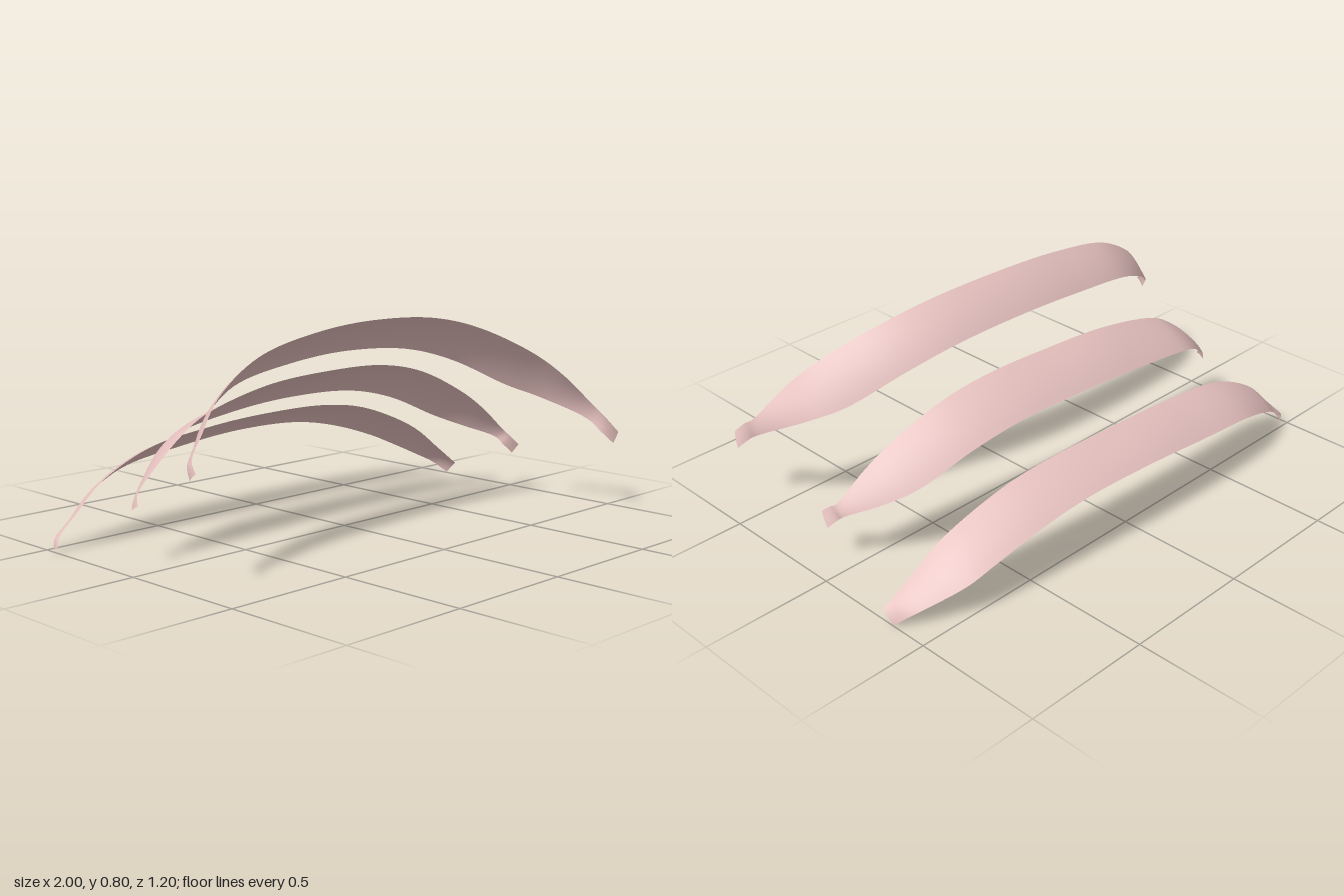
import * as THREE from 'three';

// Cross-sections along each band, right tip to left tip:
// [x, upper y, upper z, lower y, lower z, lower x if different]
const frontRows = [
  [-0.98, 0.40, 0.31, 0.37, 0.275, -0.975], [-0.965, 0.435, 0.275, 0.41, 0.25], [-0.9, 0.51, 0.25, 0.45, 0.20],
  [-0.8, 0.61, 0.215, 0.52, 0.135], [-0.6, 0.72, 0.185, 0.61, 0.06], [-0.3, 0.78, 0.165, 0.657, 0.027],
  [0, 0.80, 0.163, 0.675, 0.023], [0.3, 0.785, 0.19, 0.655, 0.05], [0.5, 0.733, 0.245, 0.597, 0.105],
  [0.7, 0.625, 0.35, 0.49, 0.21], [0.8, 0.535, 0.42, 0.44, 0.30], [0.9, 0.415, 0.49, 0.36, 0.46],
  [0.905, 0.37, 0.55, 0.315, 0.525], [0.915, 0.323, 0.598, 0.272, 0.566, 0.93],
];
const middleRows = [
  [-0.905, 0.215, -0.09, 0.195, -0.125], [-0.89, 0.25, -0.11, 0.225, -0.135], [-0.8, 0.35, -0.102, 0.29, -0.19],
  [-0.7, 0.43, -0.102, 0.36, -0.235], [-0.6, 0.487, -0.103, 0.40, -0.262], [-0.3, 0.56, -0.11, 0.447, -0.281],
  [0, 0.583, -0.105, 0.468, -0.28], [0.3, 0.58, -0.086, 0.46, -0.258], [0.5, 0.537, -0.058, 0.413, -0.225],
  [0.7, 0.435, -0.015, 0.32, -0.165], [0.8, 0.36, 0.01, 0.275, -0.10], [0.9, 0.26, 0.04, 0.225, 0],
  [0.907, 0.235, 0.075, 0.2, 0.03], [0.915, 0.207, 0.108, 0.163, 0.062, 0.93],
];
const backRows = [
  [-1, 0.025, -0.434, 0.005, -0.472, -0.99], [-0.978, 0.055, -0.452, 0.045, -0.482], [-0.9, 0.135, -0.447, 0.095, -0.505],
  [-0.8, 0.23, -0.438, 0.155, -0.54], [-0.6, 0.325, -0.425, 0.23, -0.585], [-0.3, 0.368, -0.428, 0.27, -0.602],
  [0, 0.385, -0.427, 0.295, -0.60], [0.3, 0.383, -0.413, 0.291, -0.583], [0.5, 0.353, -0.393, 0.255, -0.563],
  [0.7, 0.277, -0.362, 0.19, -0.535], [0.8, 0.22, -0.345, 0.145, -0.51], [0.9, 0.14, -0.33, 0.09, -0.45],
  [0.96, 0.09, -0.318, 0.053, -0.405], [1, 0.055, -0.307, 0.008, -0.355],
];

// Sweep a slightly arched cross-section between the two edge curves
function bandGeometry(rows, along = 120, across = 10) {
  const curve = (pts) => new THREE.CatmullRomCurve3(pts);
  const upper = curve(rows.map(([x, y, z]) => new THREE.Vector3(x, y, z)));
  const lower = curve(rows.map(([x, , , y, z, lx = x]) => new THREE.Vector3(lx, y, z)));
  const positions = [], index = [];
  for (let i = 0; i <= along; i++) {
    const t = i / along;
    const a = lower.getPoint(t), b = upper.getPoint(t);
    const width = b.clone().sub(a);
    const tangent = upper.getTangent(t).add(lower.getTangent(t));
    const outward = width.clone().cross(tangent).normalize();
    for (let j = 0; j <= across; j++) {
      const s = j / across;
      const p = a.clone().lerp(b, s).addScaledVector(outward, 0.05 * width.length() * 4 * s * (1 - s));
      positions.push(p.x, p.y, p.z);
      if (i < along && j < across) {
        const k = i * (across + 1) + j, n = k + across + 1;
        index.push(k, k + 1, n, k + 1, n + 1, n);
      }
    }
  }
  const geometry = new THREE.BufferGeometry();
  geometry.setAttribute('position', new THREE.Float32BufferAttribute(positions, 3));
  geometry.setIndex(index);
  geometry.computeVertexNormals();
  return geometry;
}

export function createModel() {
  const group = new THREE.Group();
  group.name = 'curvedBands';
  const material = new THREE.MeshStandardMaterial({ color: 0xe3bfbd, side: THREE.DoubleSide });
  const bands = { frontBand: frontRows, middleBand: middleRows, backBand: backRows };
  for (const [name, rows] of Object.entries(bands)) {
    const mesh = new THREE.Mesh(bandGeometry(rows), material);
    mesh.name = name;
    group.add(mesh);
  }
  return group;
}
